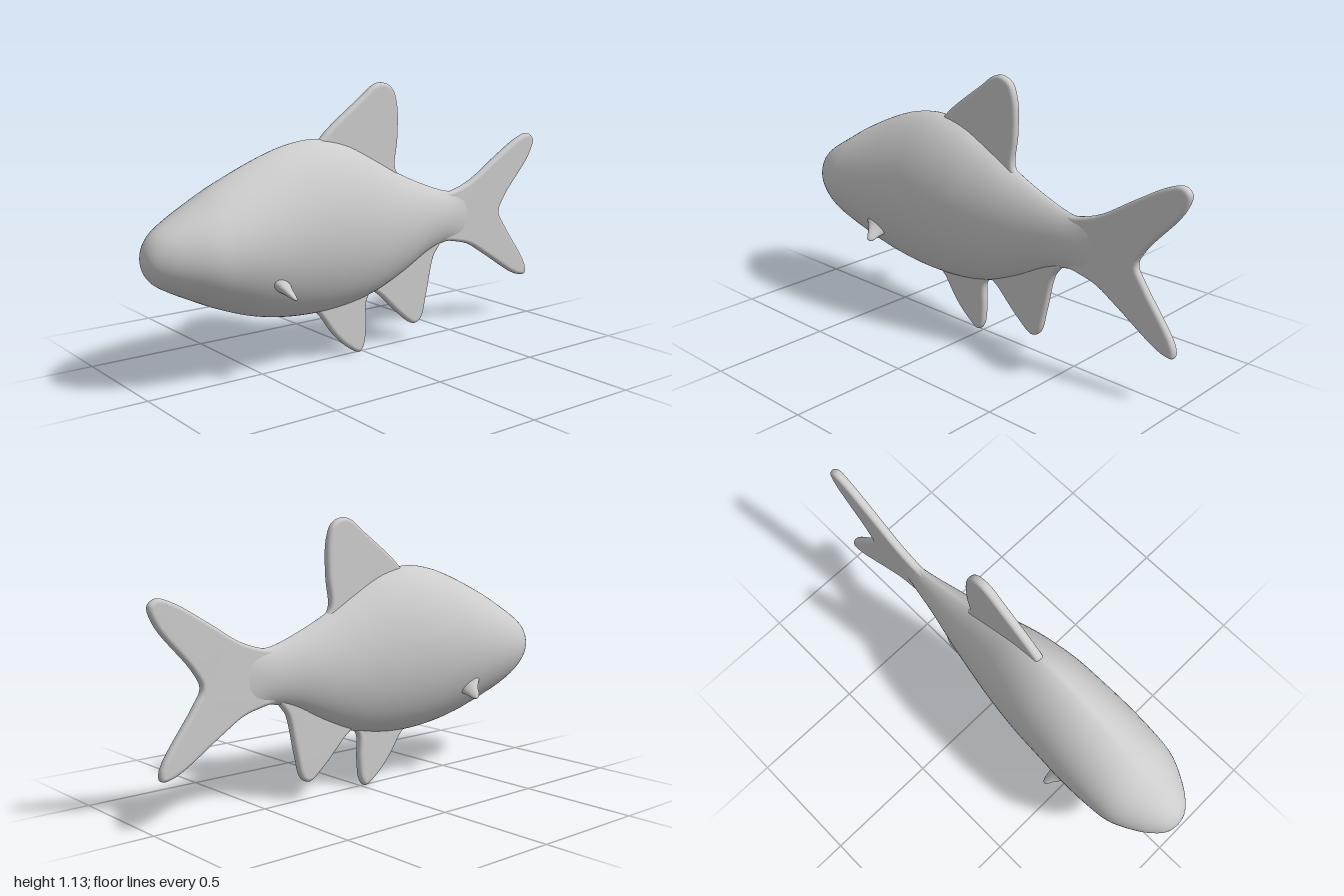
import * as THREE from 'three';
import { mergeVertices } from 'three/addons/utils/BufferGeometryUtils.js';

const material = new THREE.MeshStandardMaterial({ color: 0xcccccc });

function addMesh(group, name, geometry) {
  const mesh = new THREE.Mesh(geometry, material);
  mesh.name = name;
  group.add(mesh);
  return mesh;
}

// Body stations from snout to tail root: x, top, bottom, half width
const STATIONS = [
  [-1, 0.53, 0.53, 0], [-0.99, 0.578, 0.482, 0.045], [-0.96, 0.625, 0.44, 0.085],
  [-0.9, 0.668, 0.402, 0.132], [-0.8, 0.725, 0.352, 0.182], [-0.7, 0.783, 0.306, 0.197],
  [-0.55, 0.853, 0.252, 0.2], [-0.4, 0.905, 0.222, 0.193], [-0.25, 0.925, 0.212, 0.183],
  [-0.1, 0.897, 0.22, 0.162], [0.05, 0.825, 0.25, 0.132], [0.2, 0.745, 0.31, 0.1],
  [0.35, 0.682, 0.385, 0.066], [0.47, 0.645, 0.418, 0.042], [0.57, 0.645, 0.415, 0.021],
  [0.64, 0.63, 0.43, 0.008],
];

// Lofted body: rounded at the snout, lens-shaped sections further back
function bodyGeometry() {
  const rings = 90, sides = 56;
  const curve = (k) => new THREE.CatmullRomCurve3(
    STATIONS.map((s) => new THREE.Vector3(s[0], s[k], s[3])), false, 'catmullrom');
  const top = curve(1), bottom = curve(2);
  const positions = [], index = [];
  for (let i = 0; i <= rings; i++) {
    const a = top.getPoint(i / rings), b = bottom.getPoint(i / rings);
    const mid = (a.y + b.y) / 2, half = (a.y - b.y) / 2;
    const power = 1 + 0.32 * THREE.MathUtils.smoothstep(a.x, -1, -0.5);
    for (let j = 0; j < sides; j++) {
      const angle = (j / sides) * Math.PI * 2, c = Math.cos(angle);
      positions.push(a.x, mid + half * Math.sin(angle), Math.sign(c) * Math.abs(c) ** power * a.z);
      if (i < rings) {
        const n = (j + 1) % sides, p = i * sides, q = p + sides;
        index.push(p + j, q + j, p + n, q + j, q + n, p + n);
      }
    }
  }
  // Close the thin tail end
  const last = rings * sides;
  for (let j = 1; j < sides - 1; j++) index.push(last, last + j, last + j + 1);
  const geometry = new THREE.BufferGeometry();
  geometry.setAttribute('position', new THREE.Float32BufferAttribute(positions, 3));
  geometry.setIndex(index);
  const merged = mergeVertices(geometry, 1e-5);
  merged.computeVertexNormals();
  return merged;
}

// Fin: smooth closed outline, thin plate with a rounded rim
function finGeometry(outline) {
  const curve = new THREE.CatmullRomCurve3(
    outline.map(([x, y]) => new THREE.Vector3(x, y, 0)), true, 'centripetal');
  const points = curve.getPoints(outline.length * 6).slice(0, -1);
  const shape = new THREE.Shape(points.map((p) => new THREE.Vector2(p.x, p.y)));
  const rim = 0.016, depth = 0.006;
  let geometry = new THREE.ExtrudeGeometry(shape, {
    depth, bevelEnabled: true, bevelSize: rim, bevelOffset: -rim,
    bevelThickness: rim, bevelSegments: 5,
  });
  geometry.translate(0, 0, -depth / 2);
  geometry.deleteAttribute('normal');
  geometry.deleteAttribute('uv');
  geometry = mergeVertices(geometry, 1e-5);
  geometry.computeVertexNormals();
  return geometry;
}

const FINS = {
  dorsalFin: [
    [-0.25, 0.87], [-0.2, 0.935], [-0.14, 0.985], [0, 1.085], [0.055, 1.125], [0.1, 1.135],
    [0.15, 1.112], [0.178, 1.04], [0.18, 0.9], [0.168, 0.775], [0.21, 0.71], [0.1, 0.68], [-0.1, 0.78],
  ],
  pelvicFin: [
    [-0.27, 0.25], [-0.22, 0.195], [-0.15, 0.1], [-0.08, 0.035], [-0.02, 0.003], [0.003, 0.03],
    [0.015, 0.12], [0.016, 0.22], [0.05, 0.29], [-0.1, 0.36],
  ],
  analFin: [
    [0.03, 0.29], [0.1, 0.225], [0.2, 0.13], [0.28, 0.075], [0.318, 0.092], [0.35, 0.2],
    [0.388, 0.36], [0.43, 0.43], [0.3, 0.48], [0.1, 0.38],
  ],
  tailFin: [
    [0.38, 0.63], [0.5, 0.643], [0.61, 0.68], [0.75, 0.765], [0.9, 0.85], [0.965, 0.867], [0.997, 0.84],
    [0.97, 0.765], [0.82, 0.59], [0.785, 0.52], [0.82, 0.455], [0.965, 0.245], [0.965, 0.2], [0.91, 0.205],
    [0.7, 0.332], [0.6, 0.39], [0.5, 0.416], [0.38, 0.44],
  ],
};

// Small flared pectoral nub, flattened along its narrow side
function pectoralGeometry() {
  const profile = [[0.07, 0], [0.045, 0.03], [0.028, 0.06], [0.019, 0.085], [0.01, 0.1], [0, 0.104]];
  const geometry = new THREE.LatheGeometry(profile.map(([r, y]) => new THREE.Vector2(r, y)), 20);
  geometry.scale(1, 1, 0.55);
  return geometry;
}

export function createModel() {
  const fish = new THREE.Group();
  fish.name = 'fish';
  addMesh(fish, 'body', bodyGeometry());
  for (const [name, outline] of Object.entries(FINS)) addMesh(fish, name, finGeometry(outline));

  // Mirrored pair of pectoral fins
  for (const side of [1, -1]) {
    const fin = addMesh(fish, side > 0 ? 'frontPectoralFin' : 'backPectoralFin', pectoralGeometry());
    const direction = new THREE.Vector3(0.02, -0.055, side * 0.085).normalize();
    const along = new THREE.Vector3(0.75, -0.6, 0).projectOnPlane(direction).normalize();
    const across = new THREE.Vector3().crossVectors(along, direction);
    fin.quaternion.setFromRotationMatrix(new THREE.Matrix4().makeBasis(along, direction, across));
    fin.position.set(-0.5, 0.405, side * 0.136);
  }
  return fish;
}
